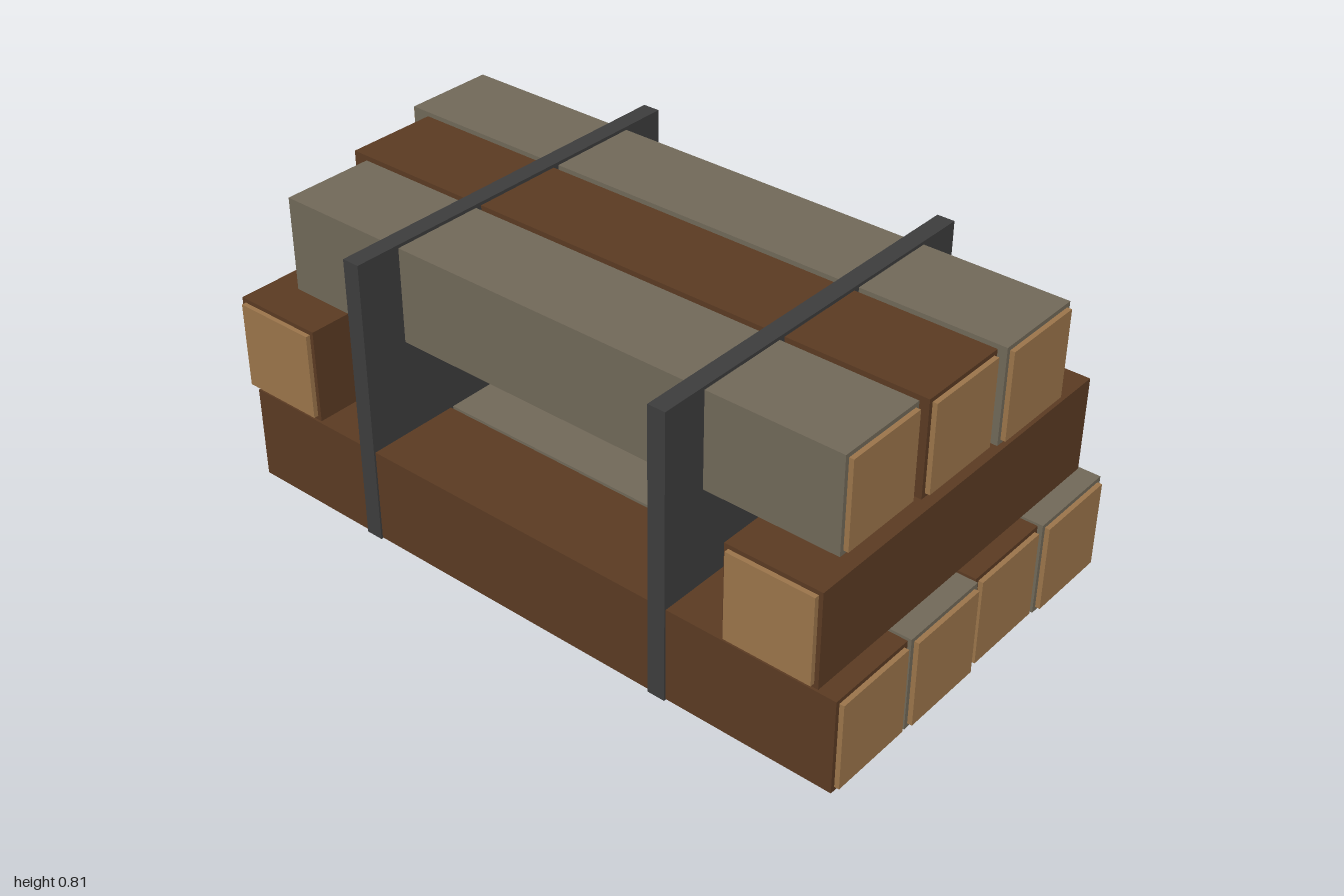
import * as THREE from 'three';

const material = (name, color) => {
  const m = new THREE.MeshStandardMaterial({ color });
  m.name = name;
  return m;
};

export function createModel() {
  const brown = material('brownWood', 0x5a3a22);
  const grey = material('weatheredWood', 0x706858);
  const endGrain = material('endGrain', 0x9a744a);
  const iron = material('darkIron', 0x3c3c3c);

  const SIZE = 0.266; // beam cross-section
  const CAP = 0.243; // end-grain cross-section
  const CAP_OUT = 0.013; // end-grain projection
  const model = new THREE.Group();
  model.name = 'timberStack';

  const box = (parent, name, mat, size, pos) => {
    const mesh = new THREE.Mesh(new THREE.BoxGeometry(...size), mat);
    mesh.name = name;
    mesh.position.set(...pos);
    parent.add(mesh);
  };

  // Beam along x from x0 to x1, with an end-grain block at each end
  const beam = (name, mat, x0, x1, y, z) => {
    const group = new THREE.Group();
    group.name = name;
    const length = x1 - x0;
    box(group, 'timber', mat, [length, SIZE, SIZE], [0, 0, 0]);
    for (const s of [-1, 1]) {
      box(group, 'endGrain', endGrain, [CAP_OUT, CAP, CAP], [s * (length + CAP_OUT) / 2, 0, 0]);
    }
    group.position.set((x0 + x1) / 2, y, z);
    model.add(group);
    return group;
  };

  // Bottom row, front to back
  const yBottom = 0.003 + SIZE / 2;
  beam('bottomBeam1', brown, -0.892, 0.977, yBottom, 0.411);
  beam('bottomBeam2', grey, -0.985, 0.982, yBottom, 0.137);
  beam('bottomBeam3', brown, -0.892, 0.972, yBottom, -0.137);
  beam('bottomBeam4', grey, -0.985, 0.982, yBottom, -0.411);

  // Cross beams
  for (const s of [-1, 1]) {
    const cross = beam('crossBeam', brown, -0.537, 0.537, yBottom + SIZE, 0);
    cross.position.x = s * 0.79;
    cross.rotation.y = Math.PI / 2;
  }

  // Top row, front to back
  const yTop = yBottom + 2 * SIZE;
  beam('topBeam1', grey, -0.845, 0.877, yTop, 0.284);
  beam('topBeam2', brown, -0.909, 0.892, yTop, 0);
  beam('topBeam3', grey, -0.981, 0.907, yTop, -0.284);

  // Binding plates around the whole stack
  for (const s of [-1, 1]) {
    box(model, 'bindingPlate', iron, [0.05, 0.81, 1.098], [s * 0.475, 0.405, 0]);
  }

  return model;
}
